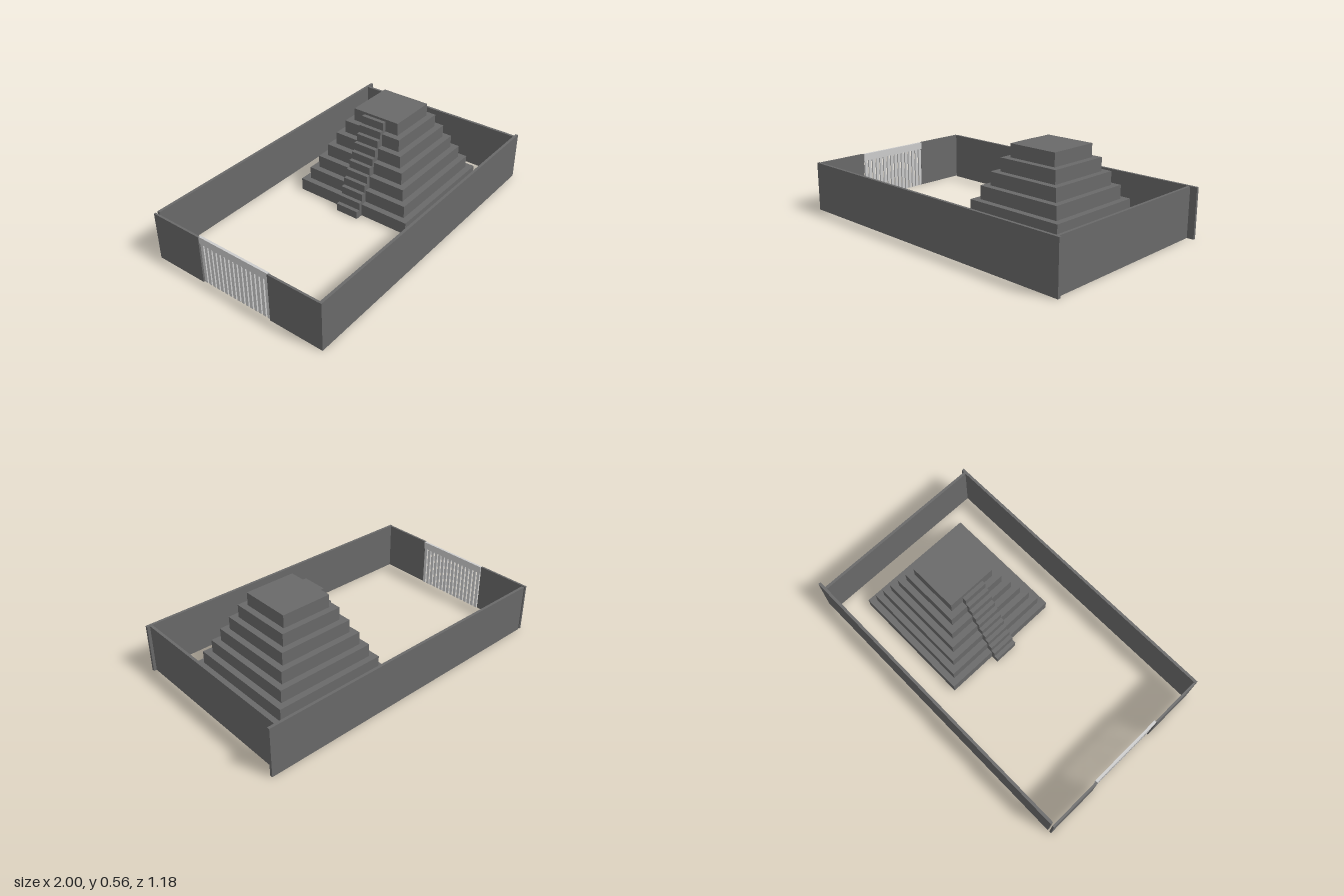
import * as THREE from 'three';

export function createModel() {
  const model = new THREE.Group();
  const stone = new THREE.MeshStandardMaterial({ color: 0x696969 });
  stone.name = 'darkStone';
  const gateGrey = new THREE.MeshStandardMaterial({ color: 0xcccccc });
  gateGrey.name = 'paleGate';

  // Box given by its minimum and maximum corners
  function block(parent, name, material, [x0, y0, z0], [x1, y1, z1]) {
    const mesh = new THREE.Mesh(new THREE.BoxGeometry(x1 - x0, y1 - y0, z1 - z0), material);
    mesh.position.set((x0 + x1) / 2, (y0 + y1) / 2, (z0 + z1) / 2);
    mesh.name = name;
    parent.add(mesh);
  }

  function group(name) {
    const g = new THREE.Group();
    g.name = name;
    model.add(g);
    return g;
  }

  // Courtyard walls, slightly staggered at the corners
  const walls = group('walls');
  const top = 0.308;
  block(walls, 'frontWall', stone, [-1, 0, 0.573], [0.975, top, 0.59]);
  block(walls, 'backWall', stone, [-0.975, 0, -0.59], [1, top, -0.573]);
  block(walls, 'leftWall', stone, [0.94, 0, -0.573], [0.957, top - 0.002, 0.573]);
  block(walls, 'rightWallBack', stone, [-1, 0, -0.59], [-0.987, top - 0.002, -0.245]);
  block(walls, 'rightWallFront', stone, [-1, 0, 0.243], [-0.987, top - 0.002, 0.573]);

  // Barred gate in the right wall
  const gate = group('gate');
  const gateBack = -0.245, gateFront = 0.243, bars = 16;
  block(gate, 'gateBeam', gateGrey, [-0.995, 0.26, gateBack], [-0.98, top - 0.002, gateFront]);
  const pitch = (gateFront - gateBack) / bars;
  for (let i = 0; i < bars; i++) {
    const z = gateBack + pitch * (i + 0.5);
    block(gate, 'gateBar', gateGrey, [-0.993, 0, z - 0.01], [-0.982, 0.26, z + 0.01]);
  }

  // Seven-tier stepped pyramid
  const pyramid = group('pyramid');
  const cx = 0.41, cz = -0.01, tierHeight = 0.08;
  for (let i = 0; i < 7; i++) {
    const half = 0.396 - i * 0.0395;
    block(pyramid, 'tier', stone,
      [cx - half, i * tierHeight, cz - half], [cx + half, (i + 1) * tierHeight, cz + half]);
  }

  // Staircase climbing the side that faces the gate
  const stairs = group('stairs');
  const run = 0.0253, rise = 0.05;
  for (let i = 0; i < 11; i++) {
    const x = -0.035 + i * run;
    block(stairs, 'step', stone, [x, 0, cz - 0.077], [x + run, (i + 1) * rise, cz + 0.077]);
  }

  return model;
}
